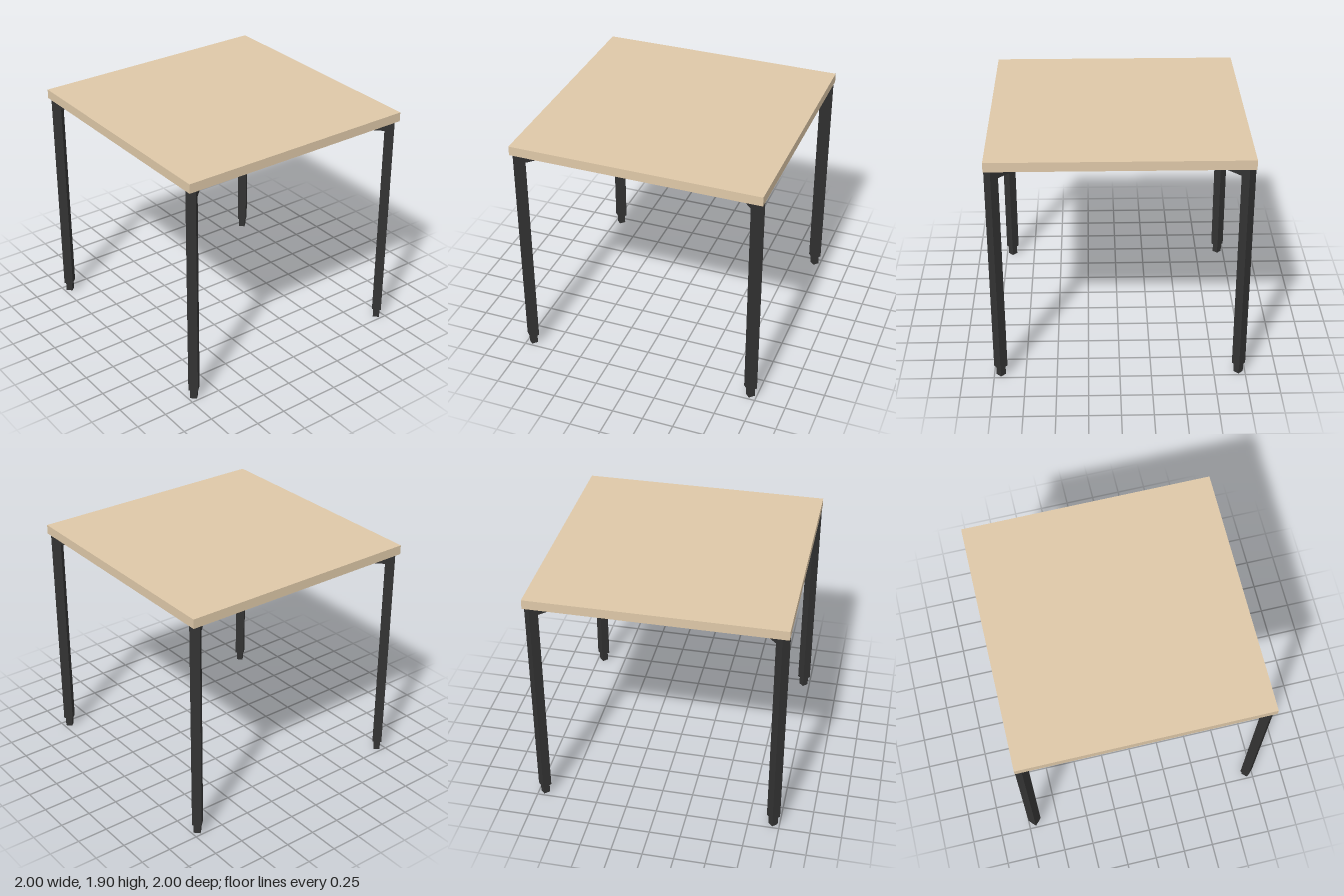
import * as THREE from 'three';

export function createModel() {
  const model = new THREE.Group();
  const wood = new THREE.MeshStandardMaterial({ color: 0xdec8a8 });
  const metal = new THREE.MeshStandardMaterial({ color: 0x333333 });

  const tube = 0.075;               // square tube of the frame
  const topBase = 1.83;             // underside of the table top
  const legBase = 0.08;             // legs end here, feet continue down
  const corner = 0.947;             // leg centre on x and z
  const reach = corner * Math.SQRT2 - tube / 2; // centre to inner leg face

  function box(name, w, h, d, x, y, z, material, parent) {
    const mesh = new THREE.Mesh(new THREE.BoxGeometry(w, h, d), material);
    mesh.name = name;
    mesh.position.set(x, y, z);
    parent.add(mesh);
  }

  // Square table top
  box('tableTop', 2, 0.075, 2, 0, topBase + 0.0375, 0, wood, model);

  // Each diagonal quarter of the frame: a leg with its foot, turned 45 degrees
  const sides = ['frontLeft', 'backLeft', 'backRight', 'frontRight'];
  sides.forEach((side, i) => {
    const quarter = new THREE.Group();
    quarter.name = side + 'Leg';
    quarter.rotation.y = -Math.PI / 4 + i * Math.PI / 2;
    const x = corner * Math.SQRT2;
    box('leg', tube, topBase - legBase, tube, x, (topBase + legBase) / 2, 0, metal, quarter);
    box('foot', 0.053, legBase, 0.053, x, legBase / 2, 0, metal, quarter);

    // Diagonal beams: one runs through, the other is made of two halves
    const start = i % 2 === 0 ? 0 : tube / 2;
    box('diagonalBeam', reach - start, tube, tube, (reach + start) / 2, topBase - tube / 2, 0, metal, quarter);
    model.add(quarter);
  });

  return model;
}
